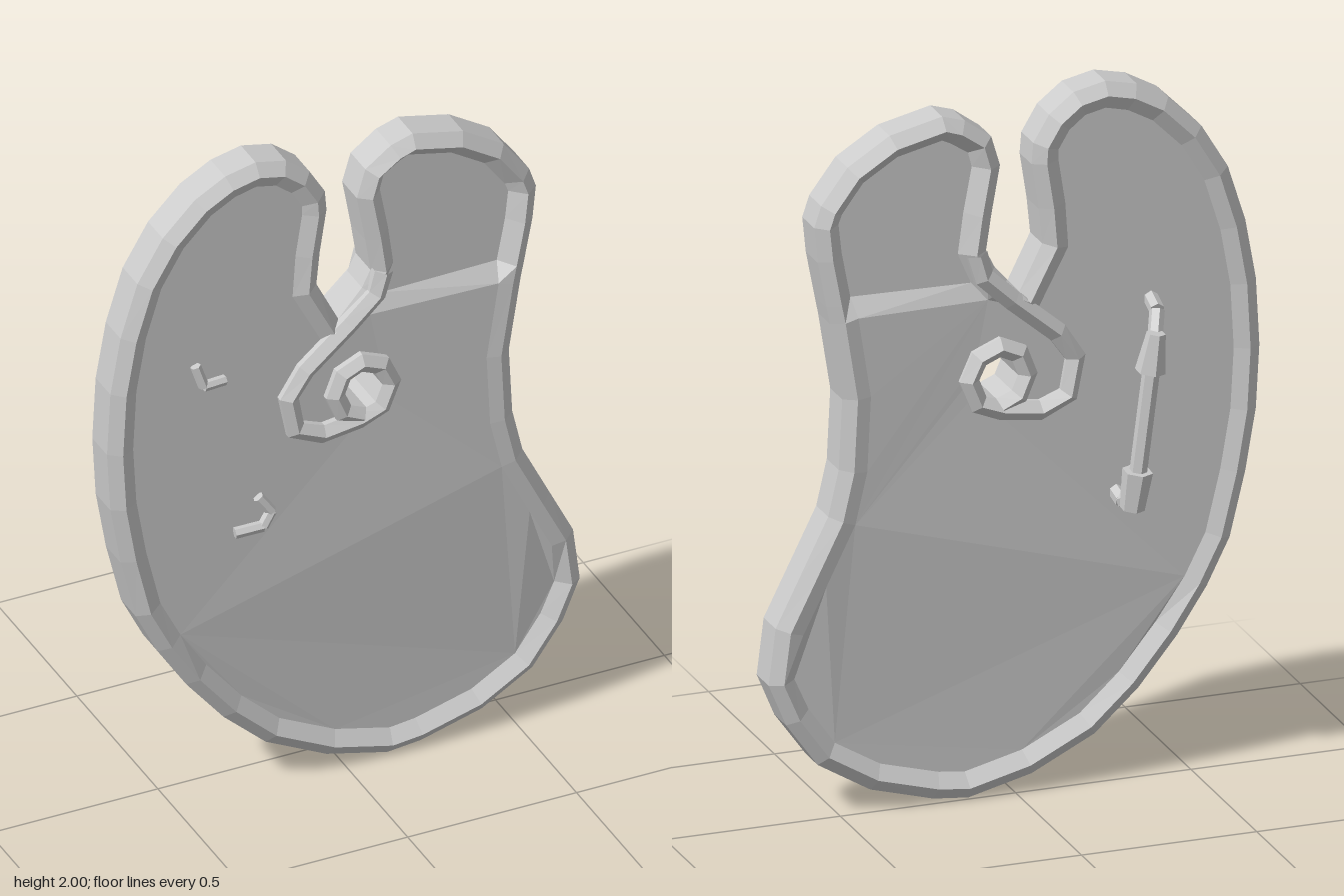
import * as THREE from 'three';

const material = new THREE.MeshStandardMaterial({ color: 0xcccccc, flatShading: true });

// Outer edge, counter-clockwise from the left side of the notch
const OUTLINE = [
  [-.08, 1.56], [-.07, 1.66], [-.05, 1.79], [-.055, 1.85], [-.10, 1.925], [-.17, 1.98], [-.26, 2],
  [-.35, 1.98], [-.44, 1.93], [-.535, 1.835], [-.61, 1.71], [-.66, 1.55], [-.69, 1.38], [-.7, 1.19],
  [-.69, 1.01], [-.66, .835], [-.615, .65], [-.55, .52], [-.465, .39], [-.355, .255], [-.23, .14],
  [-.05, .05], [.13, .005], [.23, .015], [.41, .065], [.56, .155], [.65, .28], [.7, .4], [.68, .56],
  [.61, .7], [.53, .86], [.5, .99], [.49, 1.19], [.525, 1.41], [.535, 1.46], [.56, 1.59], [.57, 1.69],
  [.55, 1.75], [.475, 1.85], [.355, 1.925], [.205, 1.96], [.14, 1.94], [.065, 1.885], [.04, 1.8],
  [.065, 1.66], [.08, 1.56], [.055, 1.51], [.02, 1.47], [-.015, 1.43],
];
const STEP_A = 33, STEP_B = 47; // outline points where the right lobe steps down

// Ridge that runs from the notch and curls round the thumb hole
const CURL = [
  [.11, 1.56], [.09, 1.49], [.01, 1.415], [-.12, 1.305], [-.17, 1.23], [-.15, 1.125], [-.07, 1.09],
  [.04, 1.105], [.105, 1.13], [.133, 1.2], [.105, 1.26], [.045, 1.285], [-.01, 1.26], [-.033, 1.2],
  [-.008, 1.14], [.045, 1.115],
];
const HOLE = { x: .05, y: 1.2, r: .075 };

const back = z => .115 - z; // the back mirrors the front about the mid-plane

// Height of the front face: nearly flush along the right flank, sunken elsewhere
function faceHeight(x, y) {
  if (x > .05 && y > 1.43) return .088;
  if (x > .3 && y > .5) return .122;
  return y < .5 ? .1 : .108;
}

function buildGeometry(points, index) {
  const g = new THREE.BufferGeometry();
  g.setAttribute('position', new THREE.Float32BufferAttribute(points.flat(), 3));
  g.setIndex(index);
  g.computeVertexNormals();
  return g;
}

// Point moved by d to the left of the path
function inset(path, i, d, closed) {
  const n = path.length;
  const at = k => path[closed ? (k + n) % n : Math.min(n - 1, Math.max(0, k))];
  const [a, b] = [at(i - 1), at(i + 1)];
  const l = Math.hypot(b[0] - a[0], b[1] - a[1]);
  return [path[i][0] - (b[1] - a[1]) / l * d, path[i][1] + (b[0] - a[0]) / l * d];
}

// Sweep cross-section rings along a path
function sweep(path, profile, closedPath, closedProfile) {
  const points = [], index = [];
  const n = path.length, m = profile.length;
  path.forEach((_, i) => profile.forEach(([d, z]) => {
    const [x, y] = inset(path, i, d, closedPath);
    points.push([x, y, typeof z === 'function' ? z(x, y) : z]);
  }));
  for (let i = 0; i < (closedPath ? n : n - 1); i++) {
    for (let j = 0; j < (closedProfile ? m : m - 1); j++) {
      const i2 = (i + 1) % n, j2 = (j + 1) % m;
      const a = i * m + j, b = i * m + j2, c = i2 * m + j2, d = i2 * m + j;
      index.push(a, b, c, a, c, d);
    }
  }
  return buildGeometry(points, index);
}

// Flat-filled panel between rim points, on the front or the back
function panel(contour, holes, isFront) {
  const v = p => p.map(([x, y]) => new THREE.Vector2(x, y));
  const faces = THREE.ShapeUtils.triangulateShape(v(contour), holes.map(v));
  const points = [...contour, ...holes.flat()].map(([x, y]) => {
    const z = faceHeight(x, y);
    return [x, y, isFront ? z : back(z)];
  });
  return buildGeometry(points, faces.flatMap(([a, b, c]) => isFront ? [a, b, c] : [a, c, b]));
}

// Six-sided rod between two points
function rod(name, a, b, r0, r1 = r0) {
  const from = new THREE.Vector3(...a), to = new THREE.Vector3(...b);
  const dir = to.clone().sub(from);
  const mesh = new THREE.Mesh(new THREE.CylinderGeometry(r1, r0, dir.length(), 6), material);
  mesh.name = name;
  mesh.position.copy(from).add(to).multiplyScalar(.5);
  mesh.quaternion.setFromUnitVectors(new THREE.Vector3(0, 1, 0), dir.normalize());
  return mesh;
}

function rodChain(name, points, r) {
  const group = new THREE.Group();
  group.name = name;
  for (let i = 1; i < points.length; i++) group.add(rod(name + 'Segment', points[i - 1], points[i], r));
  return group;
}

export function createModel() {
  const model = new THREE.Group();
  model.name = 'palette';
  const add = (name, geometry) => {
    const mesh = new THREE.Mesh(geometry, material);
    mesh.name = name;
    model.add(mesh);
  };

  // Bevelled rim
  add('rim', sweep(OUTLINE, [
    [.075, faceHeight], [.035, .13], [0, .103], [0, .012], [.035, -.015],
    [.075, (x, y) => back(faceHeight(x, y))],
  ], true, false));

  // Panels: main body with thumb hole, ramp, and sunken right lobe
  const ring = OUTLINE.map((_, i) => inset(OUTLINE, i, .075, true));
  const body = [...ring.slice(0, STEP_A + 1), ...ring.slice(STEP_B)];
  const ramp = [ring[STEP_A], ring[STEP_A + 1], ring[STEP_B - 1], ring[STEP_B]];
  const lobe = ring.slice(STEP_A + 1, STEP_B);
  const hole = Array.from({ length: 10 }, (_, i) => {
    const a = -i / 10 * Math.PI * 2;
    return [HOLE.x + HOLE.r * Math.cos(a), HOLE.y + HOLE.r * Math.sin(a)];
  });
  for (const isFront of [true, false]) {
    const side = isFront ? 'front' : 'back';
    add(side + 'Panel', panel(body, [hole], isFront));
    add(side + 'Ramp', panel(ramp, [], isFront));
    add(side + 'Lobe', panel(lobe, [], isFront));
  }

  // Curled ridge and thumb hole wall
  add('thumbHoleCurl', sweep(CURL, [
    [.028, .125], [0, .145], [-.028, .125], [-.028, -.005], [0, -.03], [.028, -.005],
  ], false, true));

  // Handle on the back
  const handle = new THREE.Group();
  handle.name = 'handle';
  const top = [-.355, 1.27, -.108], bottom = [-.305, .86, -.1];
  handle.add(
    rod('grip', bottom, top, .024),
    rod('upperSleeve', [-.345, 1.2, -.104], [-.36, 1.31, -.11], .042, .026),
    rod('lowerSleeve', [-.298, .81, -.092], [-.31, .92, -.102], .034, .042),
    rodChain('upperProng', [top, [-.385, 1.35, -.05], [-.39, 1.37, .03]], .021),
    rodChain('lowerProng', [[-.3, .84, -.09], [-.29, .815, -.04], [-.29, .83, .03]], .021),
  );
  model.add(handle);

  // Bent pin ends on the front
  model.add(
    rodChain('upperPin', [[-.445, 1.41, .118], [-.425, 1.345, .127], [-.36, 1.345, .122]], .015),
    rodChain('lowerPin', [[-.26, .94, .118], [-.225, .89, .126], [-.25, .85, .128], [-.33, .845, .12]], .016),
  );
  return model;
}
